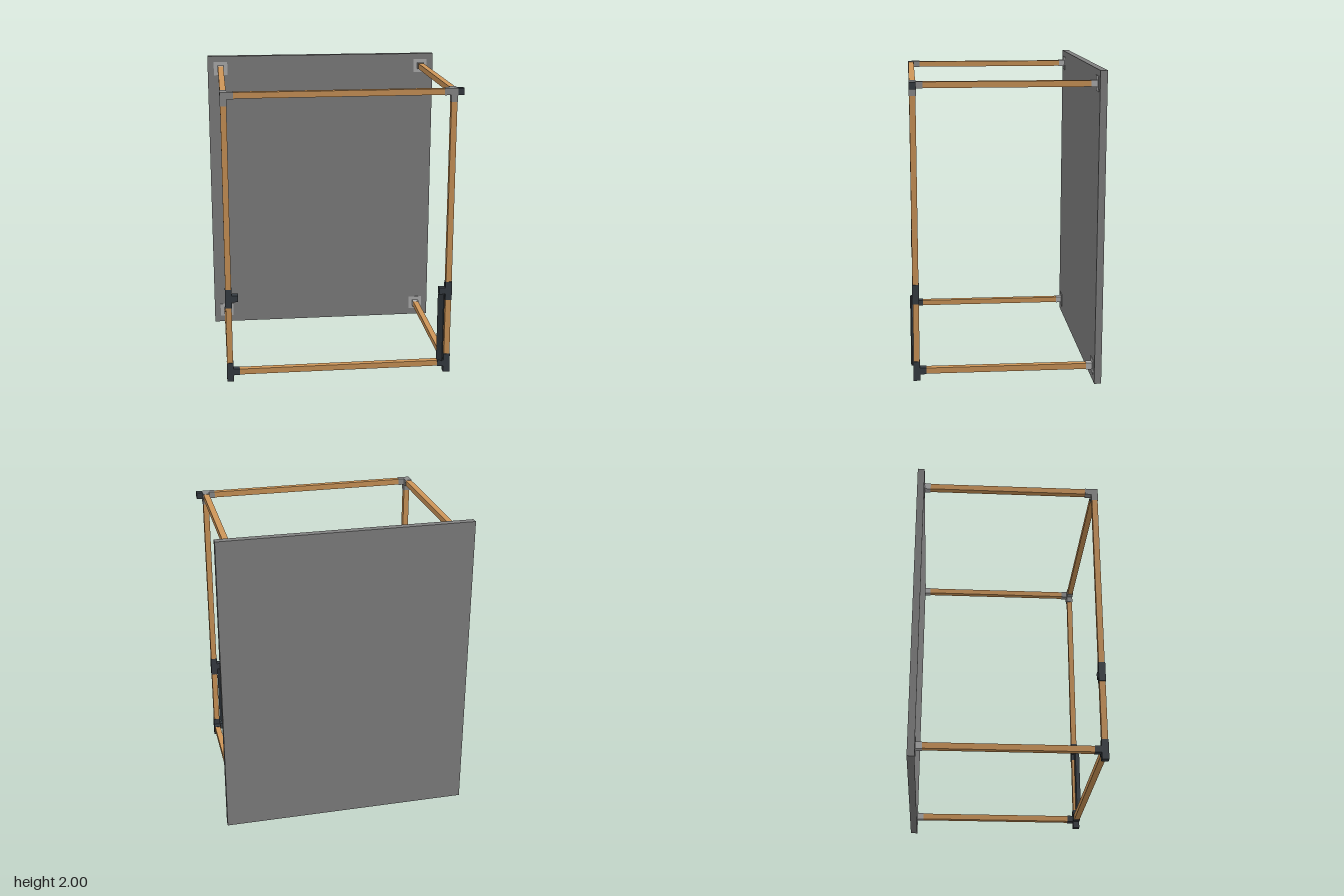
import * as THREE from 'three';

const mat = (color) => new THREE.MeshStandardMaterial({ color });

export function createModel() {
  const model = new THREE.Group();
  const wood = mat(0xcd9558), slate = mat(0x808080), dark = mat(0x363c42);
  const grey = mat(0x8c8c8c), light = mat(0xb0b0b0);

  // Box given by its minimum and maximum on each axis
  const box = (name, parent, material, [x0, x1], [y0, y1], [z0, z1]) => {
    const mesh = new THREE.Mesh(new THREE.BoxGeometry(x1 - x0, y1 - y0, z1 - z0), material);
    mesh.position.set((x0 + x1) / 2, (y0 + y1) / 2, (z0 + z1) / 2);
    mesh.name = name;
    parent.add(mesh);
    return mesh;
  };
  const around = (c, half) => [c - half, c + half];
  const span = (a, b) => [Math.min(a, b), Math.max(a, b)];

  const X = 0.717, Z = 0.57, LOW = 0.094, HIGH = 1.914; // beam centre lines
  const R = 0.019, F = 0.0215;                          // half widths of beam and fitting
  const WALL = -0.56;

  box('wallPanel', model, slate, [-0.808, 0.808], [0, 2], [-0.605, WALL]);

  // Front crossbars
  for (const y of [LOW, HIGH])
    box('frontCrossbar', model, wood, [-0.68, 0.68], around(y, R), around(Z, R));

  for (const s of [-1, 1]) {
    const x = s * X, side = s > 0 ? 'left' : 'right';
    const arm = span(x, s * 0.655);

    box(side + 'Post', model, wood, around(x, R), [0.06, 1.88], around(Z, R));

    for (const y of [LOW, HIGH]) {
      box(side + 'DepthBeam', model, wood, around(x, R), around(y, R), [-0.535, 0.53]);

      // Wall bracket: thin plate and collar
      const bracket = new THREE.Group();
      bracket.name = side + 'WallBracket';
      box('plate', bracket, light, around(x, 0.048), around(y, 0.047), [WALL - 0.002, WALL + 0.003]);
      box('collar', bracket, light, around(x, F), around(y, F), [WALL, -0.518]);
      model.add(bracket);
    }

    // Three-way top corner
    const top = new THREE.Group();
    top.name = side + 'TopCorner';
    box('sleeveDown', top, grey, around(x, F), [1.85, HIGH + F], around(Z, F));
    box('sleeveAcross', top, grey, arm, around(HIGH, F), around(Z, F));
    box('sleeveBack', top, grey, around(x, F), around(HIGH, F), [0.508, Z]);
    model.add(top);

    // Bottom corner whose sleeve also forms the foot
    const bottom = new THREE.Group();
    bottom.name = side + 'BottomCorner';
    box('foot', bottom, dark, around(x, F), [0.03, 0.158], around(Z, F));
    box('sleeveAcross', bottom, dark, arm, around(LOW, F), around(Z, F));
    box('sleeveBack', bottom, dark, around(x, F), around(LOW, F), [0.508, Z]);
    model.add(bottom);

    // Tee joint on the post
    const tee = new THREE.Group();
    tee.name = side + 'TeeJoint';
    box('sleeve', tee, dark, around(x, F), [0.538, 0.664], around(Z, F));
    box('arm', tee, dark, arm, around(0.601, F), around(Z, F));
    model.add(tee);
  }

  // Side stub on the left top corner
  box('endStub', model, dark, [X + F, 0.778], around(HIGH, F), around(Z, F));

  // Narrow slat standing diagonally beside the left post
  const slat = box('slat', model, dark, around(0.67, 0.0225), [0.115, 0.58], around(0.585, 0.006));
  slat.rotation.y = -Math.PI / 4;

  return model;
}
